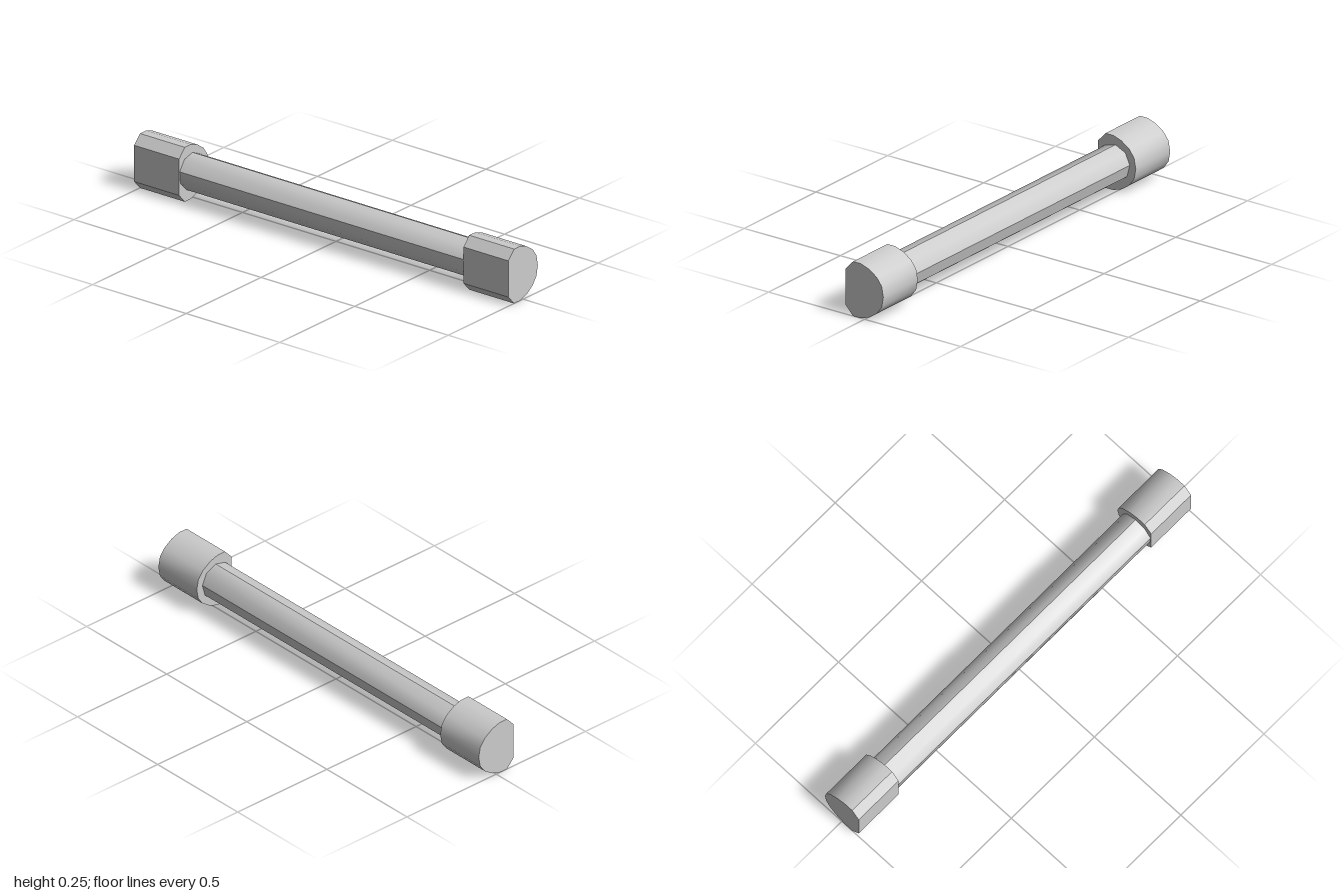
import * as THREE from 'three';
import { toCreasedNormals } from 'three/addons/utils/BufferGeometryUtils.js';

const CAP_LENGTH = 0.24;
const deg = THREE.MathUtils.degToRad;

// Rounded block with one flat side, extruded along z
function capGeometry() {
  const y0 = 0.123;
  const half = [[0.098, 0], [0.089, 0.047], [0.064, 0.081], [0.023, 0.109],
    [-0.019, 0.123], [-0.06, 0.123], [-0.098, 0.082]];
  const mirrored = half.slice(1).reverse().map(([x, y]) => [x, -y]);
  const points = [...half, ...mirrored].map(([x, y]) => new THREE.Vector2(x, y0 + y));
  const geo = new THREE.ExtrudeGeometry(new THREE.Shape(points), {
    depth: CAP_LENGTH, bevelEnabled: false,
  });
  return toCreasedNormals(geo, deg(34));
}

export function createModel() {
  const group = new THREE.Group();
  const material = new THREE.MeshStandardMaterial({ color: 0xcccccc });

  // End caps
  const cap = capGeometry();
  for (const [name, z] of [['frontCap', 1 - CAP_LENGTH], ['backCap', -1]]) {
    const mesh = new THREE.Mesh(cap, material);
    mesh.name = name;
    mesh.position.z = z;
    group.add(mesh);
  }

  // Nine-sided shaft: sides are shaded smooth in pairs, with a crease between pairs
  const shaft = new THREE.Group();
  shaft.name = 'shaft';
  shaft.position.set(-0.015, 0.125, 0);
  for (let side = 0; side < 9; side += 2) {
    const count = Math.min(2, 9 - side);
    const geo = new THREE.CylinderGeometry(0.082, 0.082, 2 - 2 * CAP_LENGTH, count, 1, true,
      deg(95 + side * 40), deg(count * 40));
    geo.rotateX(Math.PI / 2);
    geo.computeVertexNormals();
    const mesh = new THREE.Mesh(geo, material);
    mesh.name = 'shaftSide';
    shaft.add(mesh);
  }
  group.add(shaft);

  return group;
}
